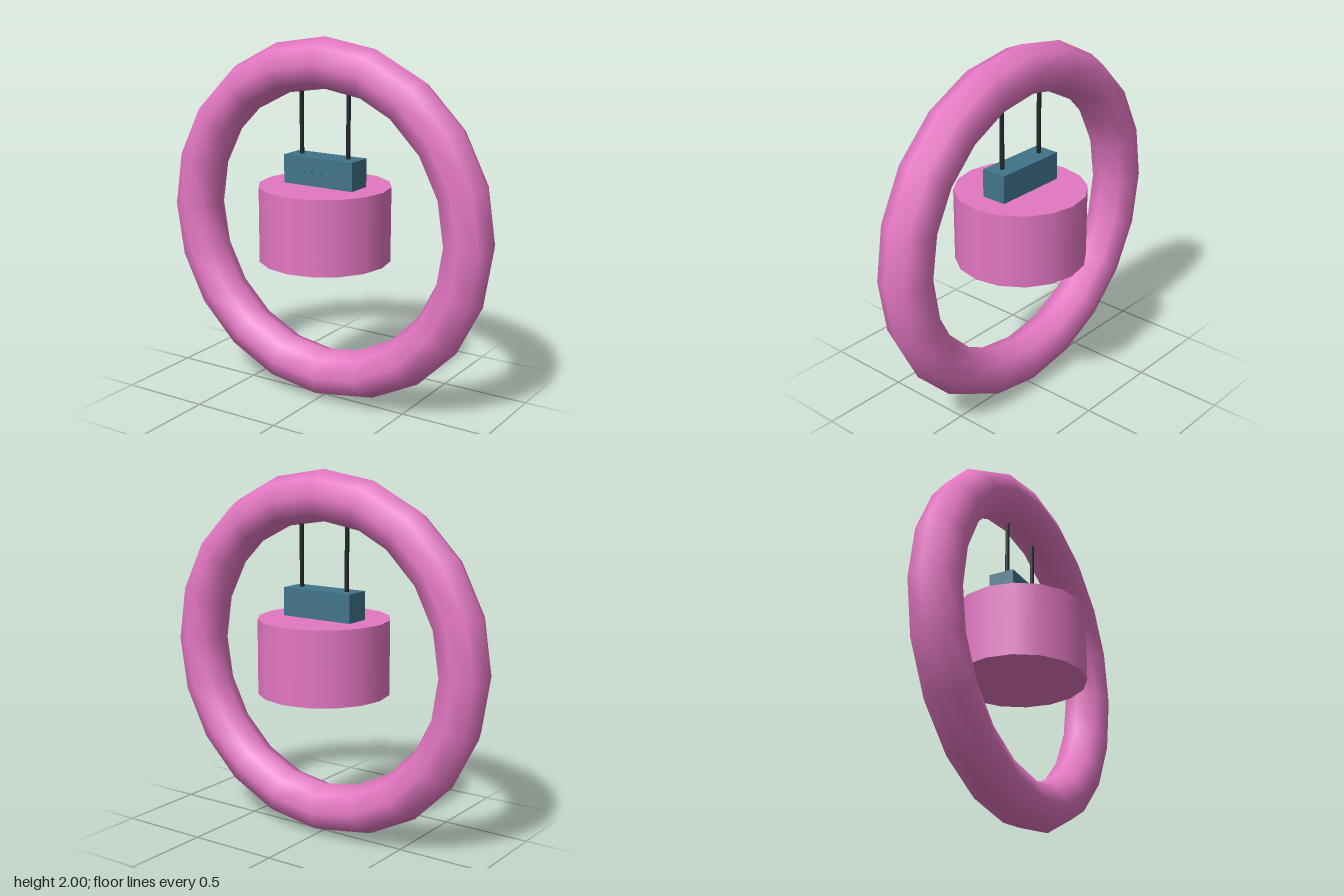
import * as THREE from 'three';

const paint = (color) => new THREE.MeshStandardMaterial({ color });

export function createModel() {
  const model = new THREE.Group();
  const pink = paint(0xe377c2);
  const blue = paint(0x41748a);
  const dark = paint(0x23282c);
  const green = paint(0x2f7a5a);

  const add = (name, geometry, material, x, y, z) => {
    const mesh = new THREE.Mesh(geometry, material);
    mesh.name = name;
    mesh.position.set(x, y, z);
    model.add(mesh);
    return mesh;
  };

  // Upright ring
  add('ring', new THREE.TorusGeometry(0.863, 0.137, 8, 20), pink, 0, 1, 0);

  // Hanging drum
  add('drum', new THREE.CylinderGeometry(0.36, 0.36, 0.41, 16), pink, 0, 1.005, 0);

  // Control box on top of the drum
  add('controlBox', new THREE.BoxGeometry(0.43, 0.155, 0.145), blue, 0, 1.2875, 0);

  // Two rods running from the box into the ring
  for (const [name, side] of [['leftRod', 1], ['rightRod', -1]]) {
    add(name, new THREE.CylinderGeometry(0.012, 0.012, 0.4, 8), dark, side * 0.147, 1.56, 0);
  }

  // Row of indicator lights on the front of the box
  for (let i = 0; i < 3; i++) {
    const light = add(`indicatorLight${i + 1}`, new THREE.CylinderGeometry(0.009, 0.009, 0.012, 8),
      green, -0.09 + i * 0.056, 1.287, 0.0735);
    light.rotation.x = Math.PI / 2;
  }

  return model;
}
